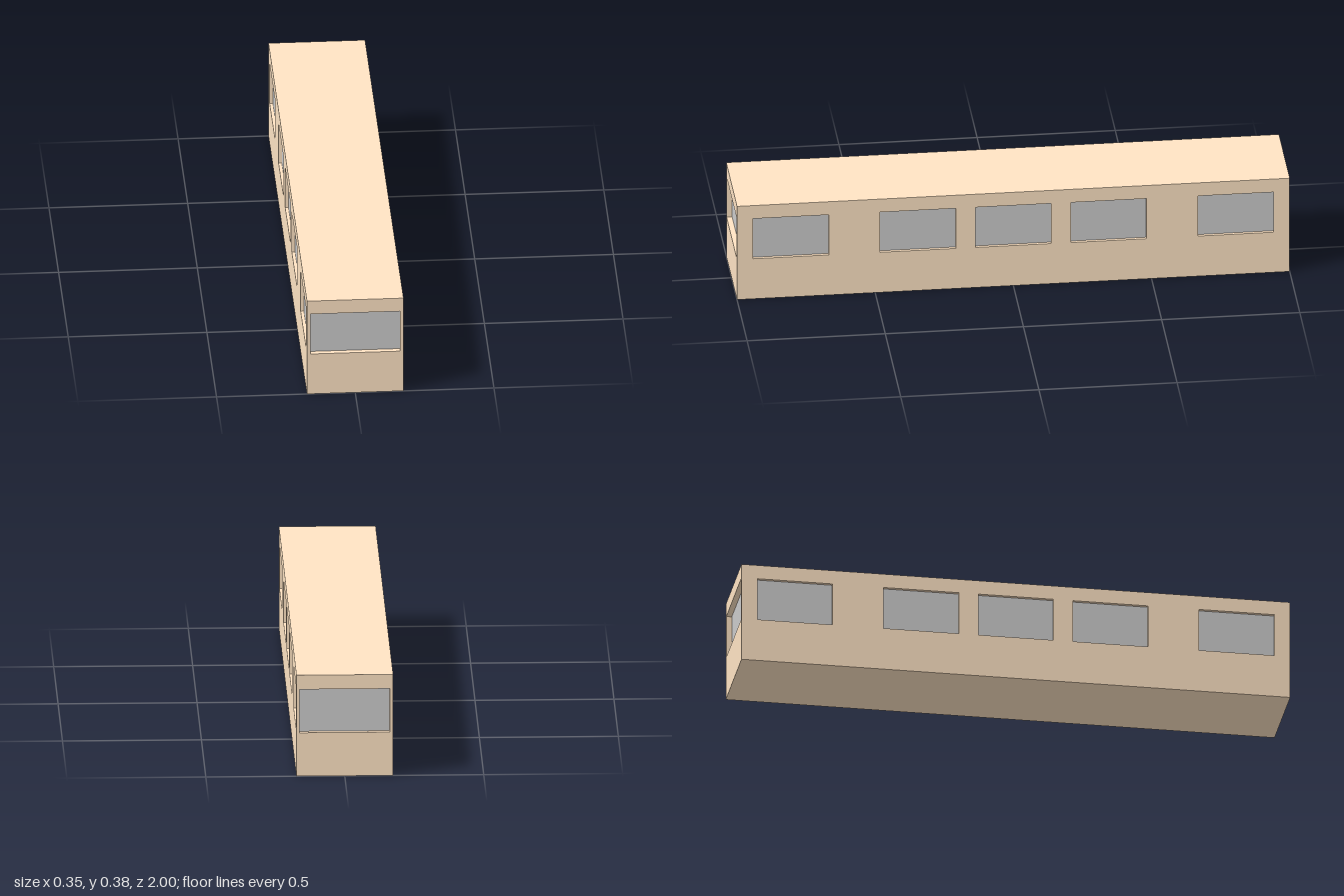
import * as THREE from 'three';

const W = 0.348, H = 0.377, L = 2;          // overall size
const SIDE_T = 0.012, END_T = 0.02;         // wall thickness
const SILL = 0.162, HEAD = 0.324;           // window band
const GLASS_T = 0.006;

const bodyMat = new THREE.MeshStandardMaterial({ color: 0xffe4c4 });
const glassMat = new THREE.MeshStandardMaterial({ color: 0xcccccc });

function addMesh(parent, name, geometry, material, x = 0, y = 0, z = 0) {
  const mesh = new THREE.Mesh(geometry, material);
  mesh.name = name;
  mesh.position.set(x, y, z);
  parent.add(mesh);
}

// Wall in the XY plane with its outer face at z = 0, windows cut through and glazed behind
function makeWall(name, width, thickness, windows) {
  const wall = new THREE.Group();
  wall.name = name;
  const rect = (Type, x0, y0, x1, y1) => new Type([
    new THREE.Vector2(x0, y0), new THREE.Vector2(x1, y0),
    new THREE.Vector2(x1, y1), new THREE.Vector2(x0, y1),
  ]);
  const shape = rect(THREE.Shape, -width / 2, 0, width / 2, H);
  for (const [a, b] of windows) {
    shape.holes.push(rect(THREE.Path, a, SILL, b, HEAD));
    const pane = new THREE.BoxGeometry(b - a, HEAD - SILL, GLASS_T);
    addMesh(wall, 'windowPane', pane, glassMat, (a + b) / 2, (SILL + HEAD) / 2, -thickness - GLASS_T / 2);
  }
  const panel = new THREE.ExtrudeGeometry(shape, { depth: thickness, bevelEnabled: false });
  addMesh(wall, 'wallPanel', panel, bodyMat, 0, 0, -thickness);
  return wall;
}

export function createModel() {
  const model = new THREE.Group();
  model.name = 'carriage';

  // End walls, each with one wide window
  const endWindow = [[-W / 2 + SIDE_T, W / 2 - SIDE_T]];
  for (const [name, angle, s] of [['frontWall', 0, 1], ['backWall', Math.PI, -1]]) {
    const wall = makeWall(name, W, END_T, endWindow);
    wall.rotation.y = angle;
    wall.position.z = s * L / 2;
    model.add(wall);
  }

  // Long side walls, each with five windows
  const sideWindows = [-0.805, -0.345, 0, 0.345, 0.805].map((c) => [c - 0.137, c + 0.137]);
  for (const [name, s] of [['leftWall', 1], ['rightWall', -1]]) {
    const wall = makeWall(name, L - 2 * END_T, SIDE_T, sideWindows);
    wall.rotation.y = s * Math.PI / 2;
    wall.position.x = s * W / 2;
    model.add(wall);
  }

  // Roof and floor set flush between the walls
  const slab = new THREE.BoxGeometry(W - 2 * SIDE_T, SIDE_T, L - 2 * END_T);
  addMesh(model, 'roof', slab, bodyMat, 0, H - SIDE_T / 2, 0);
  addMesh(model, 'floor', slab, bodyMat, 0, SIDE_T / 2, 0);

  return model;
}
